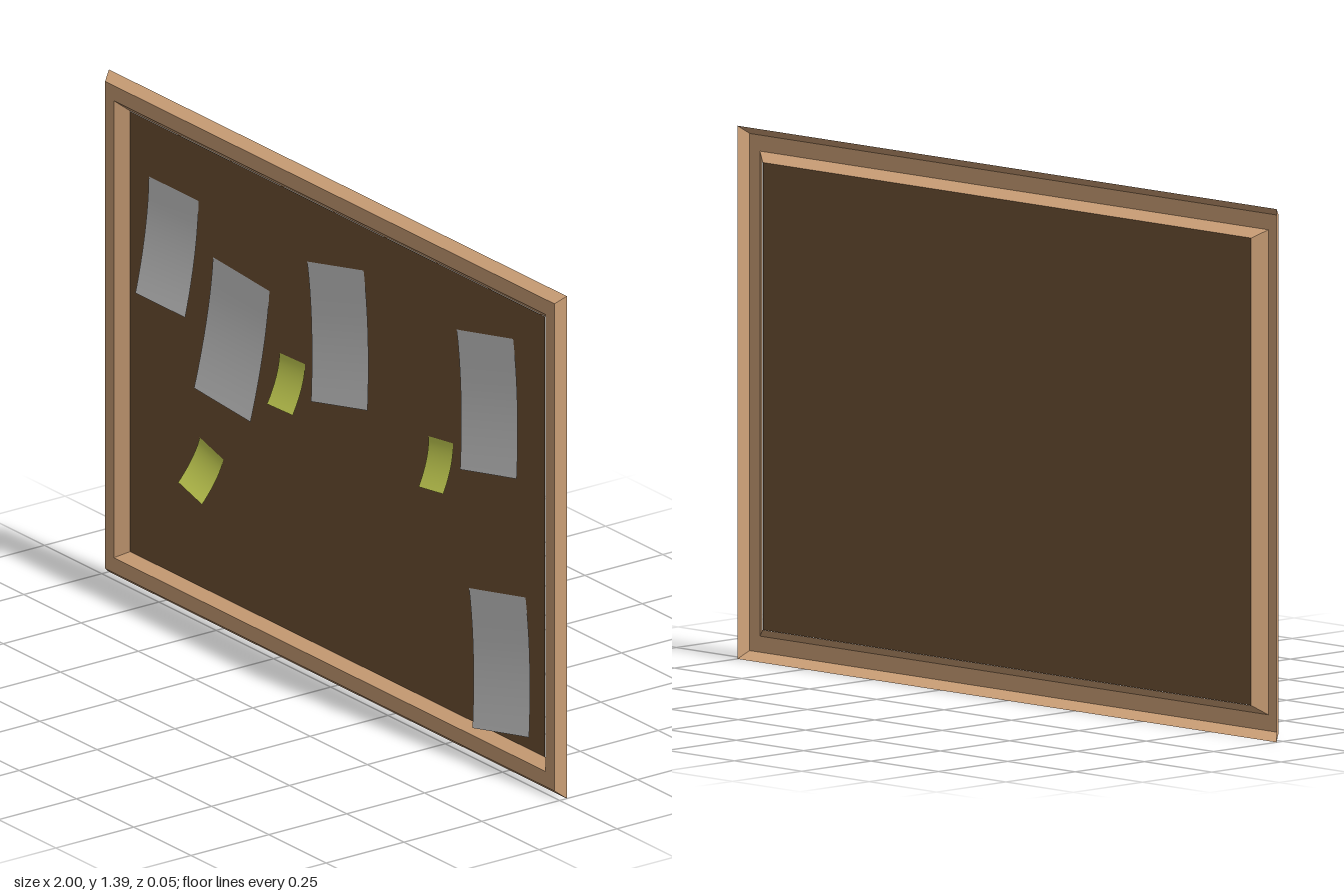
import * as THREE from 'three';

const mat = (name, color) => {
  const m = new THREE.MeshStandardMaterial({ color, side: THREE.DoubleSide });
  m.name = name;
  return m;
};

const H = 1.395, BACK = -0.023, FRONT = 0.003;

// Open moulding profile: half width, inset in y, depth
const profile = [
  [1.0, 0, BACK],
  [0.981, 0.021, FRONT],
  [0.943, 0.063, FRONT],
  [0.906, 0.086, BACK],
];

// Rectangle corners of one profile step, counter-clockwise from the front
const ring = ([w, inset, z]) => [
  [-w, inset, z], [w, inset, z], [w, H - inset, z], [-w, H - inset, z],
];

// One mitred side of the frame
function frameSide(side, material, name) {
  const pos = [];
  for (let i = 0; i < profile.length - 1; i++) {
    const outer = ring(profile[i]), inner = ring(profile[i + 1]);
    const n = (side + 1) % 4;
    const a = outer[side], b = outer[n], c = inner[n], d = inner[side];
    pos.push(...a, ...b, ...c, ...a, ...c, ...d);
  }
  const g = new THREE.BufferGeometry();
  g.setAttribute('position', new THREE.Float32BufferAttribute(pos, 3));
  g.computeVertexNormals();
  const mesh = new THREE.Mesh(g, material);
  mesh.name = name;
  return mesh;
}

// Sheet pinned along its top edge, curling away from the board at the bottom
function sheet(name, material, x, y, w, h, angle) {
  const g = new THREE.PlaneGeometry(w, h, 1, 10);
  const p = g.attributes.position;
  for (let i = 0; i < p.count; i++) {
    const t = Math.max(0, 0.5 - p.getY(i) / h);
    p.setZ(i, 0.043 * Math.pow(t, 1.7));
  }
  g.computeVertexNormals();
  const mesh = new THREE.Mesh(g, material);
  mesh.name = name;
  mesh.position.set(x, y, BACK + 0.003);
  mesh.rotation.z = angle;
  return mesh;
}

export function createModel() {
  const model = new THREE.Group();
  model.name = 'noticeBoard';
  const wood = mat('frame wood', 0xdcac80);
  const cork = mat('dark cork', 0x785839);
  const white = mat('white paper', 0xdadada);
  const yellow = mat('yellow paper', 0xd2dc58);

  // Frame
  const frame = new THREE.Group();
  frame.name = 'frame';
  ['frameBottom', 'frameLeft', 'frameTop', 'frameRight'].forEach((name, i) =>
    frame.add(frameSide(i, wood, name)));
  model.add(frame);

  // Cork panel
  const [w, inset] = profile[3];
  const board = new THREE.Mesh(new THREE.PlaneGeometry(2 * w, H - 2 * inset), cork);
  board.name = 'corkBoard';
  board.position.set(0, H / 2, BACK + 0.001);
  model.add(board);

  // Pinned papers: centre x, centre y, width, height, tilt
  [
    [-0.713, 0.998, 0.217, 0.314, 0],
    [-0.430, 0.830, 0.247, 0.362, -0.068],
    [0.031, 0.985, 0.252, 0.363, 0.21],
    [0.683, 1.001, 0.252, 0.363, 0.205],
    [0.737, 0.300, 0.252, 0.363, 0.205],
  ].forEach((s, i) => model.add(sheet('paper' + (i + 1), white, ...s)));

  // Small sticky notes
  [
    [-0.193, 0.781, 0.112, 0.131, 0.03],
    [0.461, 0.762, 0.108, 0.127, 0.125],
    [-0.565, 0.4225, 0.108, 0.131, -0.275],
  ].forEach((s, i) => model.add(sheet('stickyNote' + (i + 1), yellow, ...s)));

  return model;
}
